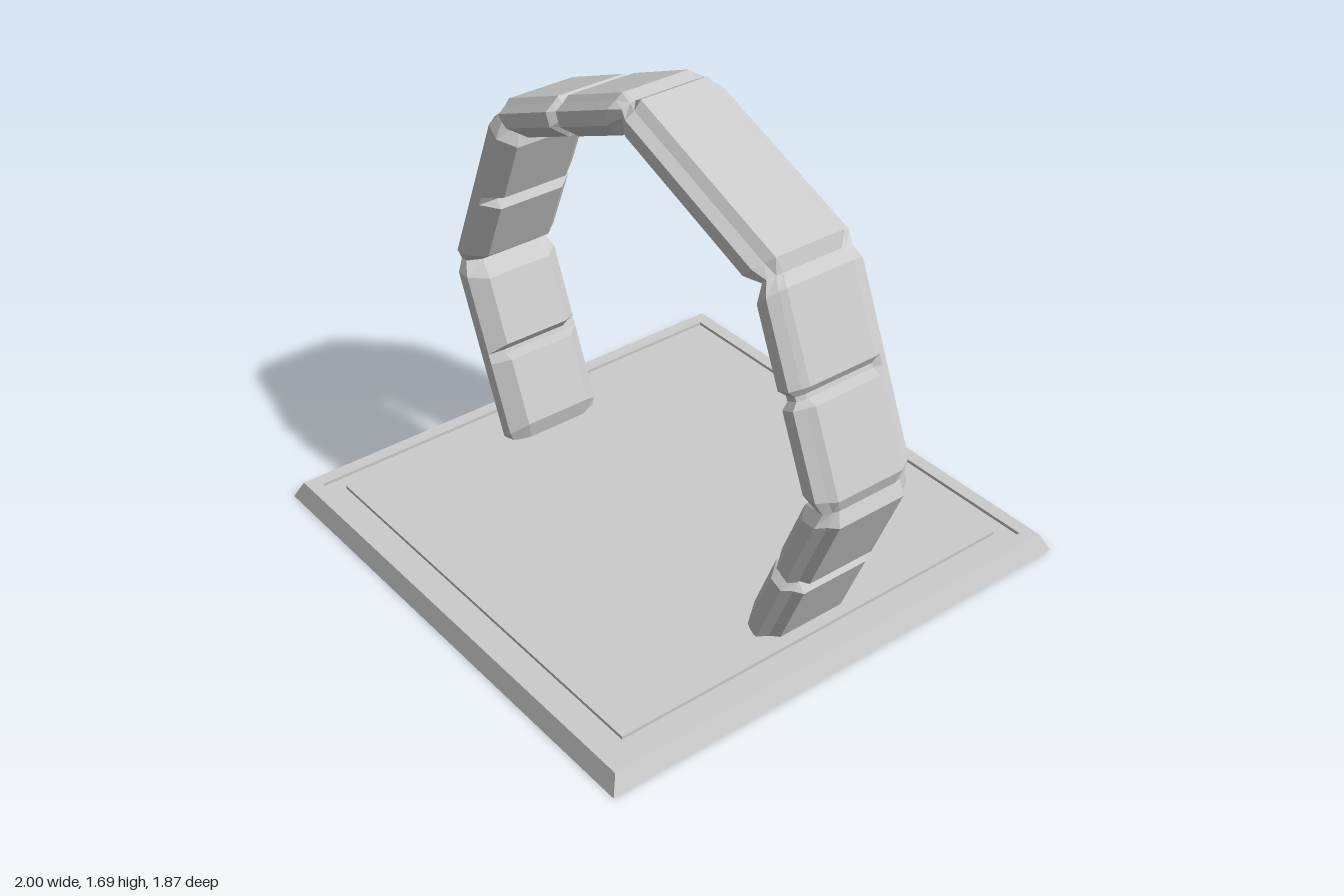
import * as THREE from 'three';

const material = new THREE.MeshStandardMaterial({ color: 0xcccccc, flatShading: true });

const CENTRE_Y = 0.69;   // centre of the octagonal ring
const APOTHEM = 0.878;   // centre to the middle line of a segment
const MITER = Math.tan(Math.PI / 8);

// Cross-section of a segment: z, radial offset, side (o outer, i inner, f front, b back)
const PROFILE = [
  [0.13, -0.083, 'i'], [0.19, -0.035, 'f'], [0.19, 0.015, 'f'], [0.155, 0.035, 'f'], [0.13, 0.06, 'o'],
  [-0.13, 0.06, 'o'], [-0.155, 0.035, 'b'], [-0.19, 0.015, 'b'], [-0.19, -0.035, 'b'], [-0.13, -0.083, 'i'],
];

// Position along a segment: mitred ends, shoulders, and a notch in the middle
const STATIONS = [
  { end: -1, inset: 0, kind: 'joint' },
  { end: -1, inset: 0.05, kind: 'panel' },
  { s: -0.03, kind: 'panel' },
  { s: -0.008, kind: 'notch' },
  { s: 0.008, kind: 'notch' },
  { s: 0.03, kind: 'panel' },
  { end: 1, inset: 0.05, kind: 'panel' },
  { end: 1, inset: 0, kind: 'joint' },
];

// One bevelled stone segment; notched lists the cut sides, heights the outer panel of each half
function segmentGeometry(angle, notched, heights) {
  const n = [Math.cos(angle), Math.sin(angle)];
  const u = [-n[1], n[0]];
  const pos = [], index = [];
  STATIONS.forEach((st, row) => {
    for (const [z0, t0, side] of PROFILE) {
      let z = z0;
      let t = side === 'o' ? heights[row < 4 ? 0 : 1] : t0;
      if (st.kind === 'joint') {
        z *= 0.88;
        t = THREE.MathUtils.clamp(t0 * 0.5, -0.042, 0.022);
      } else if (st.kind === 'notch' && notched.includes(side)) {
        if (side === 'o') t = Math.min(t, 0.022);
        else if (side === 'i') t = -0.05;
        else { z *= 0.88; t *= 0.7; }
      }
      const r = APOTHEM + t;
      const s = st.end ? st.end * (r * MITER - st.inset) : st.s;
      pos.push(n[0] * r + u[0] * s, CENTRE_Y + n[1] * r + u[1] * s, z);
    }
  });
  const m = PROFILE.length;
  for (let i = 0; i < STATIONS.length - 1; i++) {
    for (let j = 0; j < m; j++) {
      const k = (j + 1) % m;
      const a = i * m + j, b = i * m + k, c = b + m, d = a + m;
      index.push(a, b, c, a, c, d);
    }
  }
  // end caps
  const last = (STATIONS.length - 1) * m;
  for (let j = 1; j < m - 1; j++) index.push(0, j + 1, j, last, last + j, last + j + 1);
  return flat(new THREE.BufferGeometry()
    .setAttribute('position', new THREE.Float32BufferAttribute(pos, 3))
    .setIndex(index));
}

function flat(geometry) {
  const g = geometry.toNonIndexed();
  g.computeVertexNormals();
  return g;
}

export function createModel() {
  const model = new THREE.Group();
  model.name = 'portal';
  const add = (name, geometry, parent) => {
    const mesh = new THREE.Mesh(geometry, material);
    mesh.name = name;
    parent.add(mesh);
  };

  // Square base with sloped rim and a shallow groove
  const rim = [
    [0, 0], [0.937, 0], [0.908, 0.062], [0.86, 0.062], [0.86, 0.05],
    [0.8, 0.05], [0.8, 0.062], [0, 0.062],
  ].map(([half, y]) => new THREE.Vector2(half * Math.SQRT2, y));
  add('base', flat(new THREE.LatheGeometry(rim, 4, Math.PI / 4)), model);

  // Ring of six segments, open at the bottom
  const arch = new THREE.Group();
  arch.name = 'arch';
  model.add(arch);
  const segments = [
    ['leftLowerSegment', 'oifb', [0.06, 0.06]],
    ['leftUpperSegment', 'of', [0.05, 0.045]],
    ['leftTopSegment', 'i', [0.062, 0.062]],
    ['rightTopSegment', 'oifb', [0.052, 0.052]],
    ['rightUpperSegment', 'oib', [0.035, 0.063]],
    ['rightLowerSegment', 'oi', [0.063, 0.035]],
  ];
  segments.forEach(([name, notched, heights], k) => {
    add(name, segmentGeometry((k - 0.5) * Math.PI / 4, notched, heights), arch);
  });
  return model;
}
